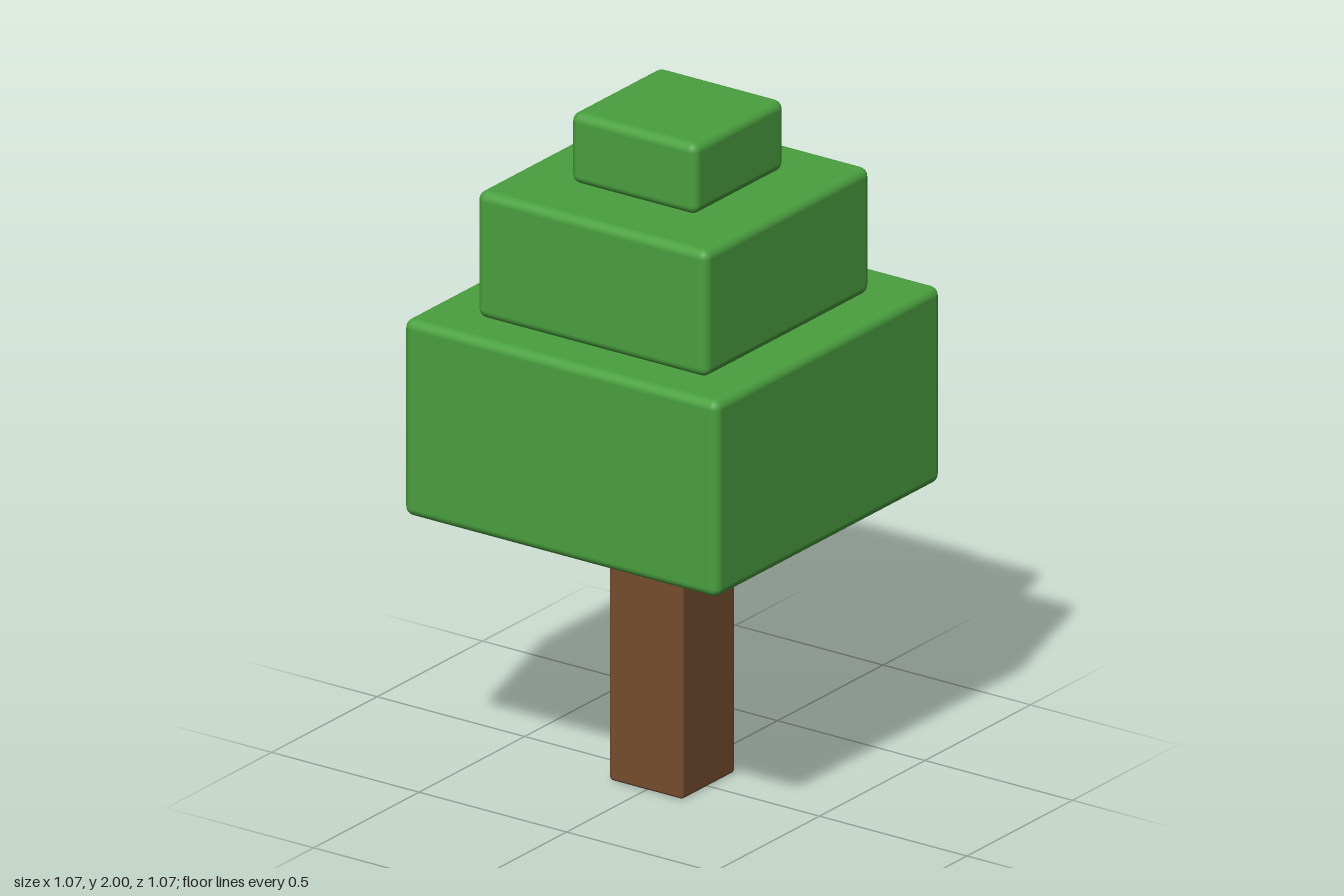
import * as THREE from 'three';
import { RoundedBoxGeometry } from 'three/addons/geometries/RoundedBoxGeometry.js';

export function createModel() {
  const tree = new THREE.Group();
  tree.name = 'blockTree';

  const leafGreen = new THREE.MeshStandardMaterial({ color: 0x4aa03f });
  leafGreen.name = 'leafGreen';
  const barkBrown = new THREE.MeshStandardMaterial({ color: 0x754d2e });
  barkBrown.name = 'barkBrown';

  // Square block with softened edges, spanning bottom to top
  function block(name, material, width, bottom, top, x, z, radius) {
    const geometry = new RoundedBoxGeometry(width, top - bottom, width, 4, radius);
    const mesh = new THREE.Mesh(geometry, material);
    mesh.name = name;
    mesh.position.set(x, (bottom + top) / 2, z);
    tree.add(mesh);
  }

  // Trunk, set slightly into the foliage
  block('trunk', barkBrown, 0.25, 0, 0.85, 0, 0, 0.01);

  // Foliage tiers, the upper two a little off centre
  block('lowerFoliage', leafGreen, 1.066, 0.827, 1.412, 0, 0, 0.027);
  block('middleFoliage', leafGreen, 0.782, 1.412, 1.789, 0.016, 0.016, 0.027);
  block('topFoliage', leafGreen, 0.427, 1.789, 2, 0.016, -0.003, 0.027);

  return tree;
}
